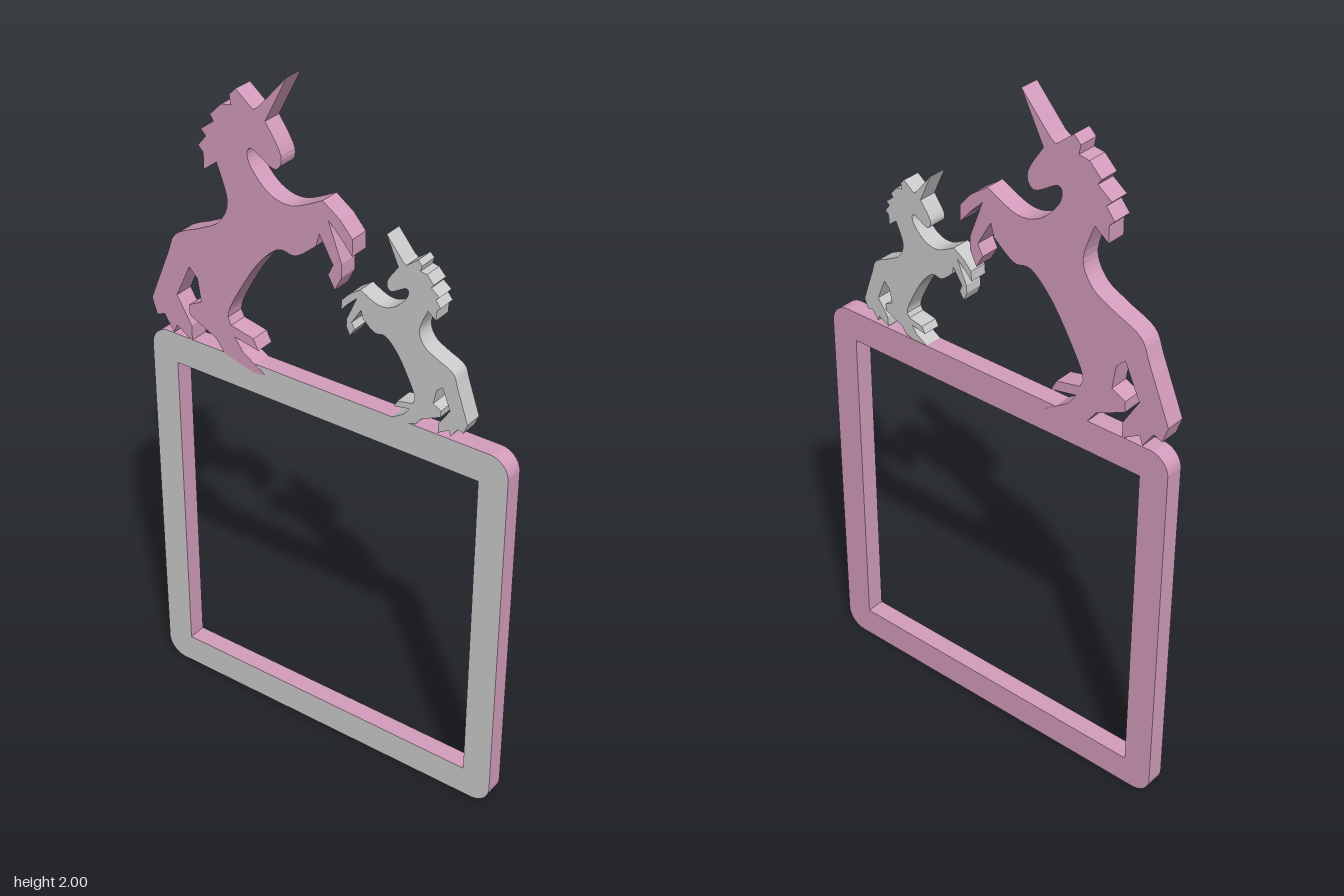
import * as THREE from 'three';

const DEPTH = 0.056;
const GRID = 189; // outline grid steps per unit; grid y runs down from 413
const pink = new THREE.MeshStandardMaterial({ color: 0xd49dbd });
const grey = new THREE.MeshStandardMaterial({ color: 0xcccccc });

// Outline sections: sharp corners, or a smooth curve through a few points
function sharp(...flat) {
  const points = [];
  for (let i = 0; i < flat.length; i += 2) {
    points.push(new THREE.Vector2((flat[i] - 238.5) / GRID, (413 - flat[i + 1]) / GRID));
  }
  return points;
}
function smooth(...flat) {
  const points = sharp(...flat);
  return new THREE.SplineCurve(points).getPoints((points.length - 1) * 5);
}

// Silhouette of a rearing unicorn, clockwise from the horn
function unicornOutline() {
  const horn = sharp(203, 54, 220, 35);
  const faceAndChest = smooth(207, 60, 216, 75, 212, 83, 198, 76, 197, 84, 208, 96, 222, 99, 240, 91);
  const forelegs = sharp(250, 98, 257, 106, 257, 115, 251, 108, 243, 100, 251, 121, 251, 128,
    247, 136, 243, 129, 246, 123, 238, 109);
  const belly = smooth(236, 116, 224, 125, 213, 125, 199, 139, 184, 164, 181, 173);
  const hindLegs = sharp(183, 177, 197, 180, 200, 186, 185, 183, 190, 190, 204, 199, 197, 200,
    178, 195, 173, 188, 156, 180, 156, 174, 164, 170, 162, 157);
  const tail = sharp(157, 152, 148, 171, 157, 186, 157, 195, 147, 189, 145, 194, 139, 185, 134, 187);
  const back = smooth(131, 178, 143, 149, 149, 136, 165, 128, 177, 121, 183, 108, 177, 89);
  const mane = sharp(169, 95, 169, 86, 166, 83, 171, 77, 168, 74, 176, 68, 174, 65, 181, 58,
    187, 57, 186, 52, 190, 48, 200, 56);
  return [horn, faceAndChest, forelegs, belly, hindLegs, tail, back, mane].flat();
}

// The small one faces the other way, at 0.6 size, leaning a little less
function smallOutline() {
  return unicornOutline().map(({ x, y }) => {
    const dx = x + 0.183, dy = y - 1.132; // measured from the hind hoof
    return new THREE.Vector2(0.214 - 0.6 * dx + 0.04 * dy, 1.148 + 0.6 * dy);
  });
}

// Flat cut-out, centred in depth
function cutOut(name, outline, material, depth) {
  const geometry = new THREE.ExtrudeGeometry(new THREE.Shape(outline), { depth, bevelEnabled: false });
  geometry.translate(0, 0, -depth / 2);
  const mesh = new THREE.Mesh(geometry, material);
  mesh.name = name;
  return mesh;
}

// Rounded outer edge with a square-cornered opening
function frameShape() {
  const w = 0.575, h = 1.155, r = 0.058;
  const s = new THREE.Shape();
  s.absarc(w - r, r, r, -Math.PI / 2, 0);
  s.absarc(w - r, h - r, r, 0, Math.PI / 2);
  s.absarc(-w + r, h - r, r, Math.PI / 2, Math.PI);
  s.absarc(-w + r, r, r, Math.PI, Math.PI * 1.5);
  s.closePath();
  s.holes.push(new THREE.Path(sharp(146, 396, 331, 396, 331, 212, 146, 212)));
  return s;
}

function createFrame() {
  const group = new THREE.Group();
  group.name = 'frame';
  const body = new THREE.Mesh(
    new THREE.ExtrudeGeometry(frameShape(), { depth: DEPTH - 0.001, bevelEnabled: false, curveSegments: 10 }), pink);
  body.position.z = -DEPTH / 2;
  body.name = 'frameBody';
  const face = new THREE.Mesh(new THREE.ShapeGeometry(frameShape(), 10), grey);
  face.position.z = DEPTH / 2;
  face.name = 'frameFrontFace';
  group.add(body, face);
  return group;
}

export function createModel() {
  const model = new THREE.Group();
  model.name = 'unicornFrame';
  model.add(
    createFrame(),
    cutOut('largeUnicorn', unicornOutline(), pink, DEPTH + 0.002),
    cutOut('smallUnicorn', smallOutline(), grey, DEPTH - 0.002),
  );
  return model;
}
